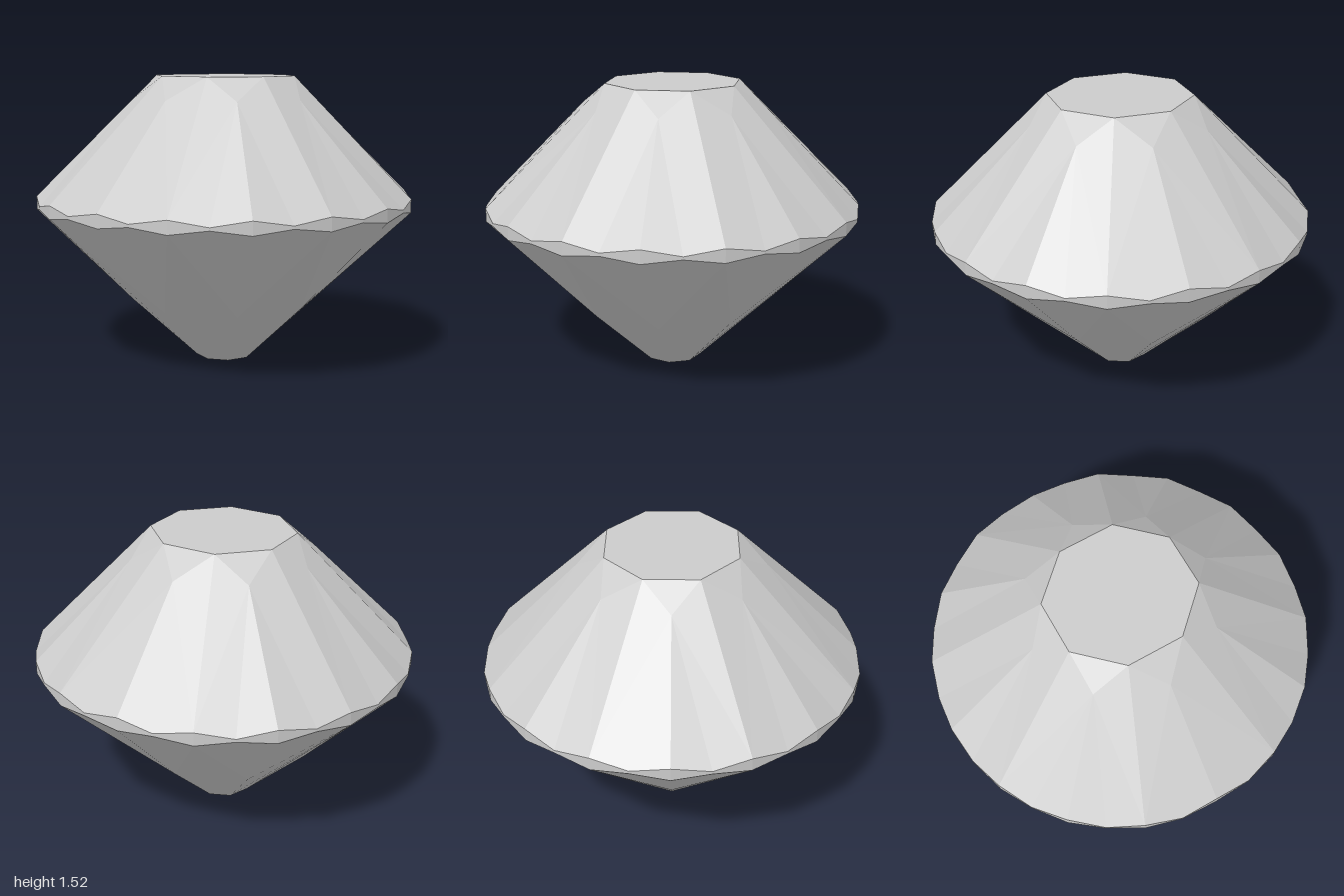
import * as THREE from 'three';

const STEP = Math.PI / 16; // 32 positions around the girdle
const material = new THREE.MeshStandardMaterial({ color: 0xcccccc, flatShading: true });

// Point at girdle step k; x and z radii may differ slightly
const ring = (k, y, rz, rx = rz) => [Math.sin(k * STEP) * rx, y, Math.cos(k * STEP) * rz];

// Girdle edges: thick at even steps, thin at odd ones, with the two sides trimmed flat
function girdlePoint(k, y) {
  const p = ring(k, y, 1);
  p[0] = THREE.MathUtils.clamp(p[0], -0.985, 0.985);
  return p;
}
const upper = k => girdlePoint(k, k % 2 ? 0.86 : 0.89);
const lower = k => girdlePoint(k, k % 2 ? 0.845 : 0.82);

const tablePoint = k => ring(k, 1.52, 0.384, 0.363);
const starTip = k => ring(k, 1.4, 0.485);
const halfTip = k => ring(k, 0.32, 0.5);
const culetPoint = k => ring(k, 0, 0.15);

// Mesh from convex facets, each given counter-clockwise from outside
function facetMesh(name, facets) {
  const positions = [];
  for (const f of facets) {
    for (let i = 1; i < f.length - 1; i++) positions.push(...f[0], ...f[i], ...f[i + 1]);
  }
  const geometry = new THREE.BufferGeometry();
  geometry.setAttribute('position', new THREE.Float32BufferAttribute(positions, 3));
  geometry.computeVertexNormals();
  const mesh = new THREE.Mesh(geometry, material);
  mesh.name = name;
  return mesh;
}

export function createModel() {
  const crown = [], girdle = [], pavilion = [], table = [], culet = [];

  for (let k = 0; k < 32; k += 4) {
    // Crown: star facet, kite and the two pairs of upper girdle facets
    crown.push([starTip(k), tablePoint(k + 2), tablePoint(k - 2)]);
    crown.push([upper(k + 2), starTip(k + 4), tablePoint(k + 2), starTip(k)]);
    for (let i = -2; i < 2; i++) crown.push([upper(k + i), upper(k + i + 1), starTip(k)]);

    // Pavilion: lower girdle facets and the main facet running to the culet
    for (let i = -2; i < 2; i++) pavilion.push([halfTip(k), lower(k + i + 1), lower(k + i)]);
    pavilion.push([lower(k + 2), halfTip(k), culetPoint(k), culetPoint(k + 4), halfTip(k + 4)]);

    table.push(tablePoint(k + 2));
    culet.unshift(culetPoint(k));
  }

  // Scalloped girdle band
  for (let k = 0; k < 32; k++) girdle.push([lower(k), lower(k + 1), upper(k + 1), upper(k)]);

  const gem = new THREE.Group();
  gem.name = 'cutGem';
  gem.add(
    facetMesh('table', [table]),
    facetMesh('crown', crown),
    facetMesh('girdle', girdle),
    facetMesh('pavilion', pavilion),
    facetMesh('culet', [culet])
  );
  return gem;
}
